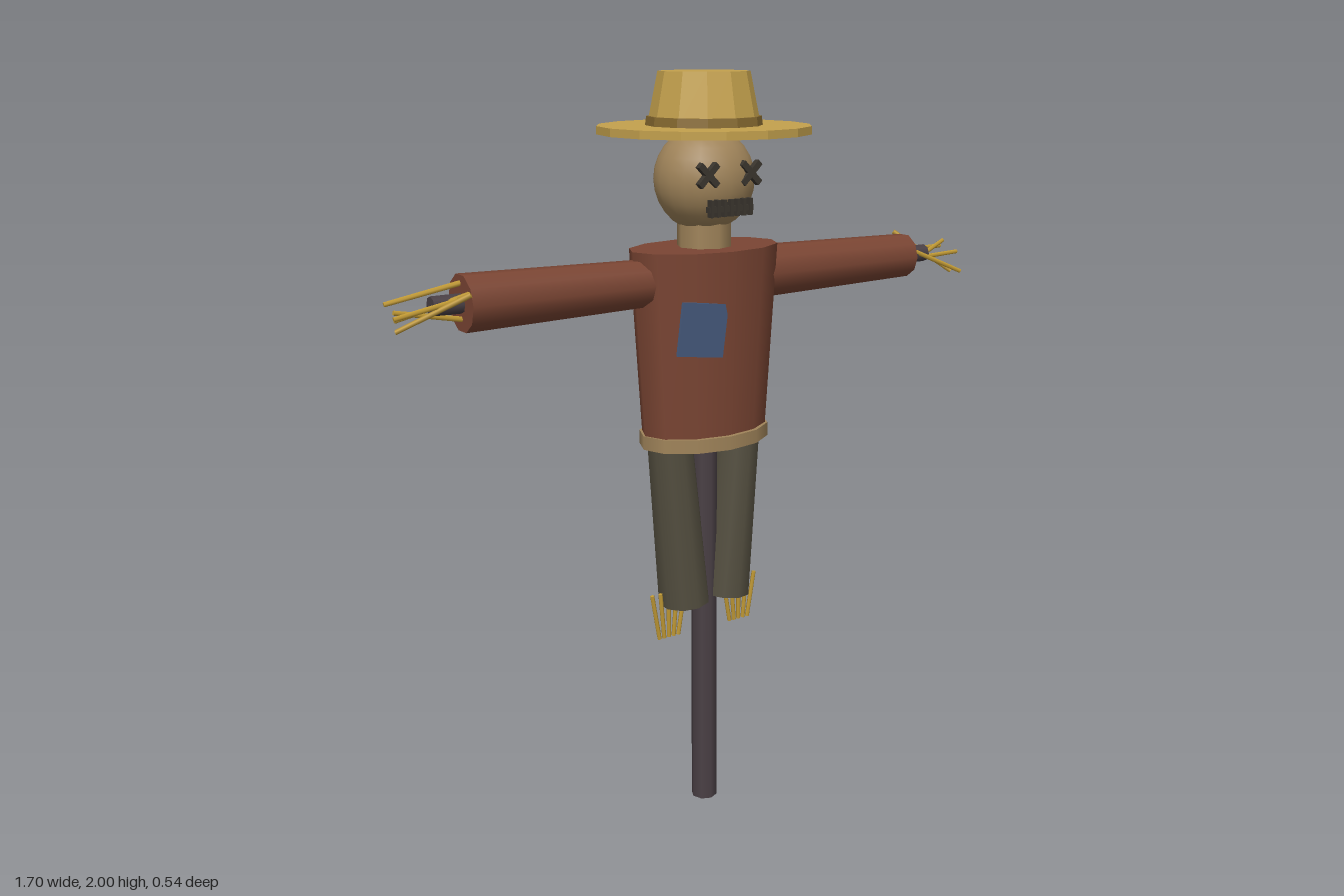
import * as THREE from 'three';

const V = (x, y, z) => new THREE.Vector3(x, y, z);

function material(name, color, flatShading = false) {
  const m = new THREE.MeshStandardMaterial({ color, flatShading });
  m.name = name;
  return m;
}

export function createModel() {
  const model = new THREE.Group();
  model.name = 'scarecrow';

  const wood = material('dark wood', 0x4a4045);
  const shirt = material('rust shirt', 0x7a4533);
  const burlap = material('burlap', 0xa0845a);
  const trousers = material('olive trousers', 0x534e3f);
  const hatStraw = material('hat straw', 0xc4a14d, true);
  const bandCloth = material('hat band', 0x86692f, true);
  const straw = material('straw', 0xc49c36);
  const patchCloth = material('blue patch', 0x465a7d);
  const thread = material('dark thread', 0x3a352e);

  const add = (name, geometry, mat, parent = model) => {
    const mesh = new THREE.Mesh(geometry, mat);
    mesh.name = name;
    parent.add(mesh);
    return mesh;
  };
  const group = (name) => {
    const g = new THREE.Group();
    g.name = name;
    model.add(g);
    return g;
  };
  // Tapered cylinder running from point a (radius ra) to point b (radius rb)
  const limb = (name, a, b, ra, rb, sides, mat, parent = model) => {
    const mesh = add(name, new THREE.CylinderGeometry(rb, ra, a.distanceTo(b), sides), mat, parent);
    mesh.position.copy(a).lerp(b, 0.5);
    mesh.quaternion.setFromUnitVectors(V(0, 1, 0), b.clone().sub(a).normalize());
    return mesh;
  };
  // Upright tapered cylinder between two heights
  const upright = (name, y0, y1, r0, r1, sides, mat, depth = 1) => {
    const mesh = add(name, new THREE.CylinderGeometry(r1, r0, y1 - y0, sides), mat);
    mesh.position.y = (y0 + y1) / 2;
    mesh.scale.z = depth;
    return mesh;
  };
  const box = (name, size, pos, tilt, mat, parent = model) => {
    const mesh = add(name, new THREE.BoxGeometry(...size), mat, parent);
    mesh.position.set(...pos);
    mesh.rotation.z = tilt;
    return mesh;
  };

  // Wooden cross
  upright('post', 0, 1.5, 0.036, 0.034, 8, wood);
  limb('crossbar', V(-0.75, 1.49, 0), V(0.75, 1.49, 0), 0.024, 0.024, 8, wood);

  // Shirt with hem, and sleeves
  upright('torso', 1.06, 1.57, 0.18, 0.212, 12, shirt, 0.62);
  upright('hem', 1.057, 1.093, 0.187, 0.187, 12, burlap, 0.67);
  limb('leftSleeve', V(0.17, 1.49, 0), V(0.675, 1.49, 0), 0.07, 0.06, 10, shirt);
  limb('rightSleeve', V(-0.17, 1.49, 0), V(-0.675, 1.49, 0), 0.06, 0.07, 10, shirt);
  box('frontPatch', [0.135, 0.135, 0.009], [-0.083, 1.38, 0.119], -0.13, patchCloth);
  box('backPatch', [0.12, 0.125, 0.009], [0.092, 1.24, -0.116], 0.13, patchCloth);

  // Trouser legs with straw at the ankles
  for (const [side, s] of [['left', 1], ['right', -1]]) {
    const leg = limb(side + 'Leg', V(s * 0.066, 0.612, 0), V(s * 0.108, 1.075, 0), 0.074, 0.064, 10, trousers);
    leg.scale.x = 0.93;
    const foot = group(side + 'AnkleStraw');
    for (let i = -2; i <= 2; i++) {
      limb('straw', V(s * (0.115 + i * 0.015), 0.515, 0), V(s * (0.115 + i * 0.026), 0.645, 0),
        0.006, 0.006, 5, straw, foot);
    }
  }

  // Loose straw hands: start and end of every stalk
  const hands = {
    leftHand: [
      [0.70, 1.545, -0.075, 0.83, 1.435, 0.03],
      [0.67, 1.455, 0.01, 0.85, 1.515, -0.03],
      [0.66, 1.475, 0.0, 0.85, 1.49, 0.03],
      [0.66, 1.52, 0.0, 0.83, 1.44, 0.07],
      [0.66, 1.50, -0.02, 0.84, 1.50, -0.03],
    ],
    rightHand: [
      [-0.66, 1.54, 0.0, -0.85, 1.50, -0.03],
      [-0.66, 1.51, 0.03, -0.85, 1.475, 0.025],
      [-0.68, 1.52, 0.07, -0.83, 1.435, -0.02],
      [-0.66, 1.45, 0.0, -0.84, 1.485, 0.0],
      [-0.67, 1.52, 0.05, -0.81, 1.45, -0.075],
    ],
  };
  for (const [name, stalks] of Object.entries(hands)) {
    const hand = group(name);
    for (const [ax, ay, az, bx, by, bz] of stalks) {
      limb('straw', V(ax, ay, az), V(bx, by, bz), 0.007, 0.006, 5, straw, hand);
    }
  }

  // Neck and sack head
  upright('neck', 1.54, 1.65, 0.07, 0.07, 8, burlap);
  const head = add('head', new THREE.SphereGeometry(0.131, 20, 14), burlap);
  head.position.y = 1.738;
  head.scale.z = 0.93;

  // Crossed stitch eyes
  for (const [side, s] of [['left', 1], ['right', -1]]) {
    const eye = group(side + 'Eye');
    for (const t of [1, -1]) {
      box('eyeStitch', [0.072, 0.016, 0.016], [s * 0.063, 1.758, 0.112], t * Math.PI / 4, thread, eye);
    }
  }

  // Stitched mouth
  const mouth = group('mouth');
  box('mouthLine', [0.132, 0.014, 0.016], [0, 1.675, 0.115], 0, thread, mouth);
  for (let i = -3; i <= 3; i++) {
    box('mouthStitch', [0.009, 0.042, 0.018], [i * 0.019, 1.677, 0.117], 0, thread, mouth);
  }

  // Straw hat
  upright('hatBrim', 1.85, 1.87, 0.27, 0.27, 16, hatStraw);
  upright('hatCrown', 1.87, 2.0, 0.142, 0.115, 12, hatStraw);
  upright('hatBand', 1.87, 1.892, 0.147, 0.144, 12, bandCloth);

  return model;
}
